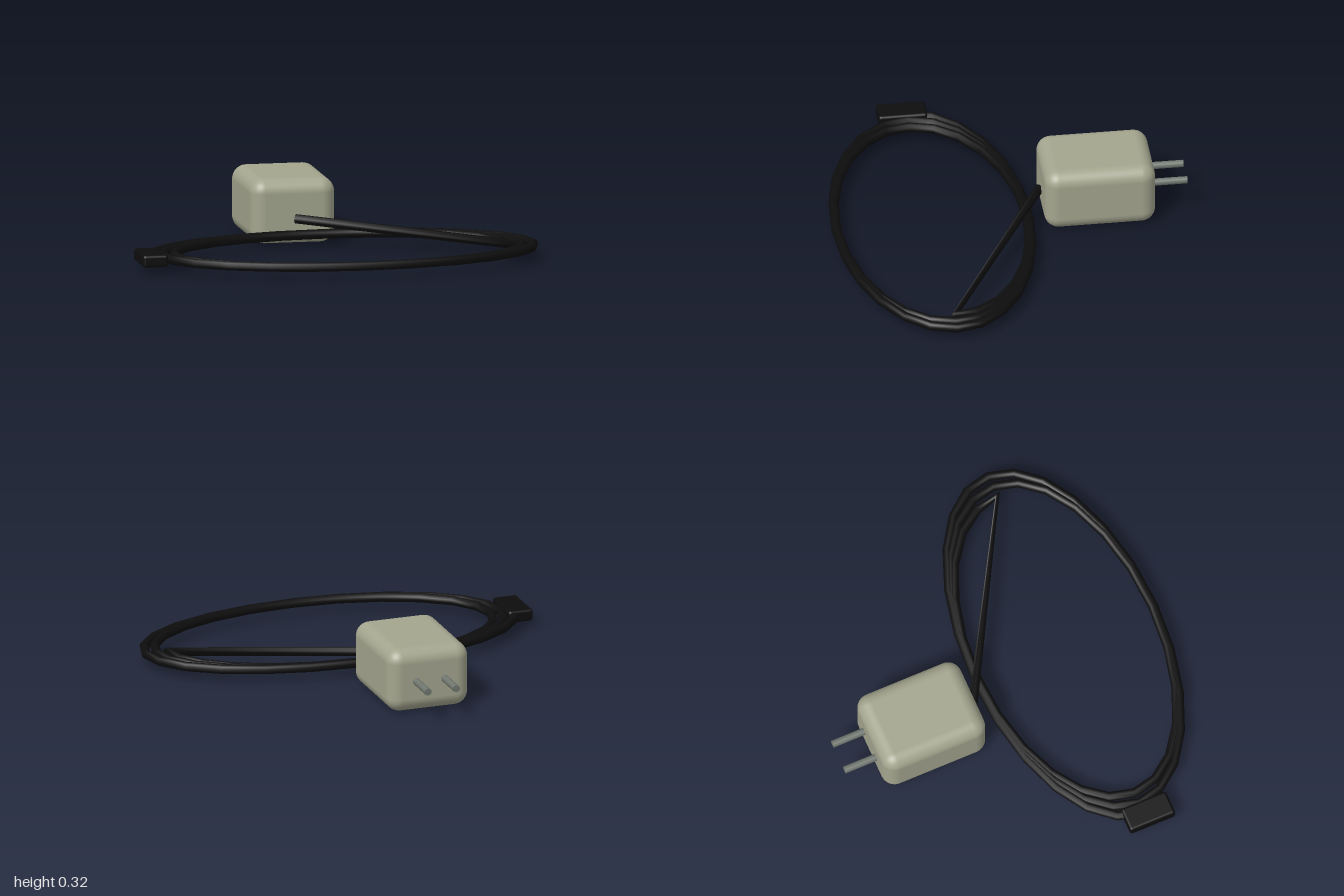
import * as THREE from 'three';
import { RoundedBoxGeometry } from 'three/addons/geometries/RoundedBoxGeometry.js';

// Polyline whose corners are mitred, sampled exactly at its points
class Polyline extends THREE.Curve {
  constructor(points) {
    super();
    this.points = points;
  }
  getPointAt(u, target = new THREE.Vector3()) {
    return target.copy(this.points[Math.round(u * (this.points.length - 1))]);
  }
  getTangentAt(u, target = new THREE.Vector3()) {
    const p = this.points, i = Math.round(u * (p.length - 1));
    target.set(0, 0, 0);
    if (i > 0) target.add(p[i].clone().sub(p[i - 1]).normalize());
    if (i < p.length - 1) target.add(p[i + 1].clone().sub(p[i]).normalize());
    return target.normalize();
  }
}

export function createModel() {
  const group = new THREE.Group();
  group.name = 'wallCharger';

  const housing = new THREE.MeshStandardMaterial({ color: 0xa3a58e });
  housing.name = 'greyBeigePlastic';
  const metal = new THREE.MeshStandardMaterial({ color: 0x70776f });
  metal.name = 'prongMetal';
  const rubber = new THREE.MeshStandardMaterial({ color: 0x0d0d0d, side: THREE.DoubleSide });
  rubber.name = 'blackRubber';

  const add = (name, geometry, material, x = 0, y = 0, z = 0) => {
    const mesh = new THREE.Mesh(geometry, material);
    mesh.name = name;
    mesh.position.set(x, y, z);
    group.add(mesh);
    return mesh;
  };

  // Adapter body
  add('adapterBody', new RoundedBoxGeometry(0.42, 0.32, 0.545, 5, 0.07), housing, -0.105, 0.16, -0.443);

  // Two round prongs at the back
  for (const [name, x] of [['leftProng', -0.032], ['rightProng', -0.178]]) {
    const prong = new THREE.CylinderGeometry(0.018, 0.018, 0.18, 16).rotateX(Math.PI / 2);
    add(name, prong, metal, x, 0.16, -0.793);
  }

  // Cable: straight lead from the adapter, then a widening oval coil
  const perTurn = 24, turns = 2.5;
  const path = [new THREE.Vector3(-0.1, 0.128, -0.165)];
  for (let i = 0; i <= perTurn * turns; i++) {
    const turn = i / perTurn, a = turn * Math.PI * 2;
    const rx = 0.825 + 0.055 * turn;
    path.push(new THREE.Vector3(0.035 + rx * Math.cos(a), 0.062, 0.38 - (0.465 + 0.004 * turn) * Math.sin(a)));
  }
  add('cable', new THREE.TubeGeometry(new Polyline(path), path.length - 1, 0.023, 10, false), rubber);

  // Connector block at the far end of the coil
  add('connector', new RoundedBoxGeometry(0.125, 0.06, 0.24, 3, 0.014), rubber, -0.9375, 0.062, 0.4);

  return group;
}
